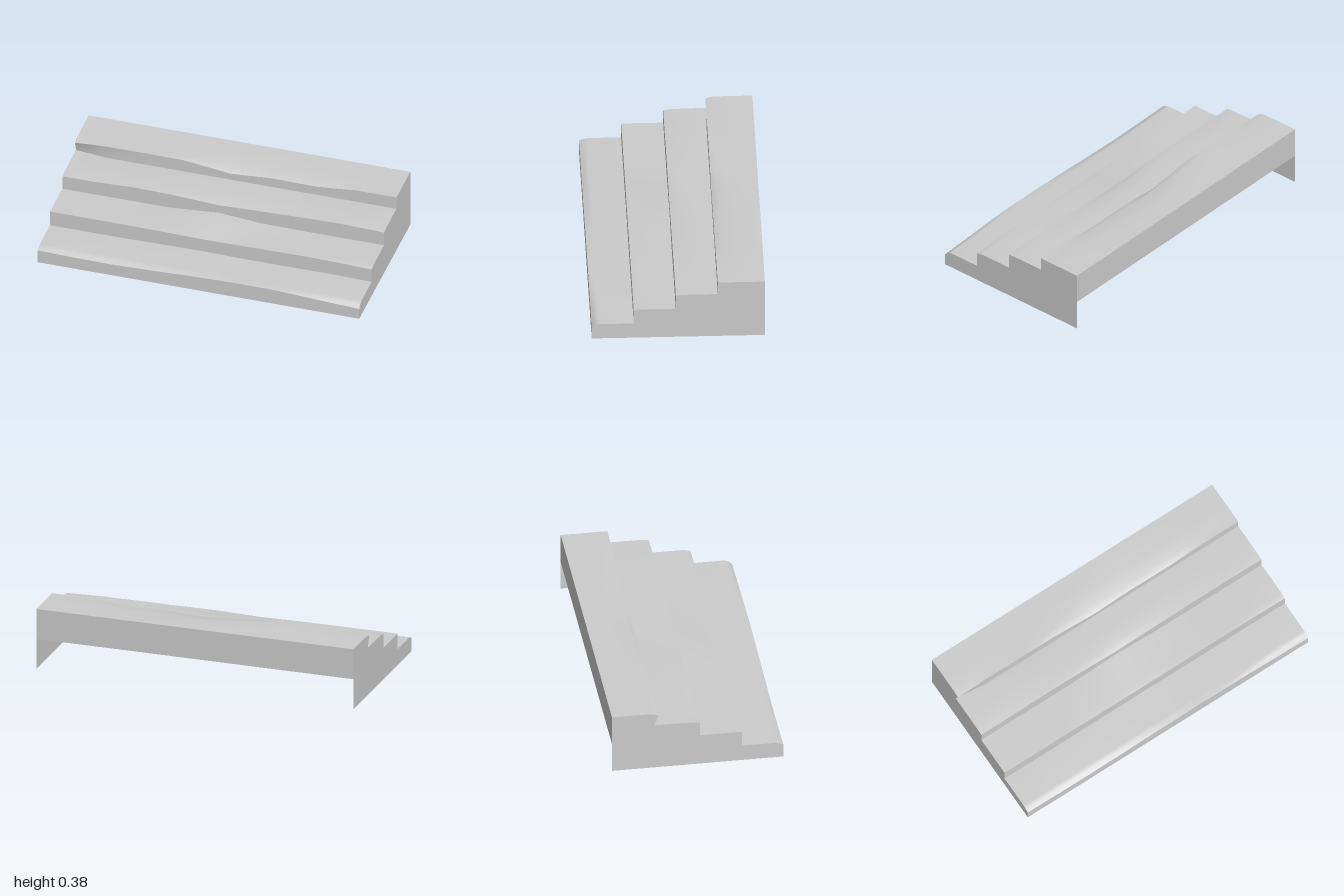
import * as THREE from 'three';

// Columns across the stair; every height list below follows them
const xs = [-1, -0.8, -0.55, -0.33, -0.03, 0.23, 0.5, 0.75, 1];
const flat = y => xs.map(() => y);
const BACK = -0.515;

// Each tread: rows of [z, heights], from the worn nose to the back edge
const treads = [
  [
    [0.515, [0.085, 0.08, 0.077, 0.083, 0.094, 0.1, 0.098, 0.083, 0.07]],
    [0.493, [0.094, 0.091, 0.09, 0.095, 0.1, 0.102, 0.101, 0.098, 0.092]],
    [0.468, flat(0.101)],
    [0.265, [0.101, 0.102, 0.102, 0.105, 0.108, 0.104, 0.104, 0.106, 0.101]],
  ],
  [
    [0.265, [0.2, 0.2, 0.2, 0.198, 0.193, 0.196, 0.2, 0.198, 0.19]],
    [0.225, [0.2, 0.2, 0.2, 0.2, 0.2, 0.2, 0.2, 0.2, 0.2]],
    [0.015, [0.2, 0.2, 0.2, 0.201, 0.225, 0.203, 0.2, 0.2, 0.2]],
  ],
  [
    [0.015, [0.29, 0.29, 0.3, 0.296, 0.279, 0.288, 0.296, 0.3, 0.292]],
    [-0.03, [0.295, 0.295, 0.303, 0.299, 0.295, 0.297, 0.298, 0.302, 0.297]],
    [-0.12, [0.298, 0.3, 0.305, 0.3, 0.298, 0.299, 0.299, 0.302, 0.298]],
    [-0.235, flat(0.298)],
  ],
  [
    [-0.235, [0.367, 0.379, 0.38, 0.379, 0.341, 0.36, 0.356, 0.379, 0.38]],
    [-0.275, [0.378, 0.38, 0.38, 0.38, 0.371, 0.37, 0.376, 0.38, 0.38]],
    [-0.36, [0.38, 0.38, 0.38, 0.38, 0.378, 0.373, 0.379, 0.38, 0.38]],
    [-0.42, flat(0.38)],
    [BACK, flat(0.38)],
  ],
];

// The foot of the last riser is undercut at one end
const footZ = (step, col) => treads[step][0][0] - (step === 3 && col === 0 ? 0.025 : 0);

const material = new THREE.MeshStandardMaterial({ color: 0xcccccc, side: THREE.DoubleSide });

// Sheet from rows of points; rows run left to right on screen, front row first
function sheet(name, rows) {
  const n = rows[0].length, index = [];
  for (let r = 0; r < rows.length - 1; r++) {
    for (let c = 0; c < n - 1; c++) {
      const a = r * n + c, b = a + n;
      index.push(a, a + 1, b + 1, a, b + 1, b);
    }
  }
  const geo = new THREE.BufferGeometry();
  geo.setAttribute('position', new THREE.Float32BufferAttribute(rows.flat(2), 3));
  geo.setIndex(index);
  geo.computeVertexNormals();
  const mesh = new THREE.Mesh(geo, material);
  mesh.name = name;
  return mesh;
}

// Point of a tread, its back edge following the foot of the next riser
function treadPoint(step, row, col) {
  const [z, ys] = treads[step][row];
  const isBack = row === treads[step].length - 1 && step < 3;
  return [xs[col], ys[col], isBack ? footZ(step + 1, col) : z];
}

// End wall cut to the stair profile of one end column
function endWall(name, col) {
  const shape = new THREE.Shape();
  shape.moveTo(BACK, 0);
  shape.lineTo(treads[0][0][0], 0);
  treads.forEach((rows, s) => rows.forEach((_, r) => {
    const [, y, z] = treadPoint(s, r, col);
    shape.lineTo(z, y);
  }));
  const geo = new THREE.ShapeGeometry(shape).rotateY(-Math.PI / 2);
  const mesh = new THREE.Mesh(geo, material);
  mesh.position.x = xs[col];
  mesh.name = name;
  return mesh;
}

export function createModel() {
  const group = new THREE.Group();
  group.name = 'wornSteps';

  treads.forEach((rows, s) => {
    // Worn tread
    group.add(sheet(`tread${s + 1}`, rows.map((_, r) => xs.map((_, c) => treadPoint(s, r, c)))));
    // Riser from the tread below (or the ground) up to the nose
    const foot = xs.map((x, c) => s === 0
      ? [x, 0, rows[0][0]]
      : treadPoint(s - 1, treads[s - 1].length - 1, c));
    group.add(sheet(`riser${s + 1}`, [foot, xs.map((_, c) => treadPoint(s, 0, c))]));
  });

  // Back apron covers only the upper half; the underside stays open
  group.add(sheet('backApron', [0.38, 0.19].map(y => [[-1, y, BACK], [1, y, BACK]])));

  group.add(endWall('rightEndWall', 0), endWall('leftEndWall', xs.length - 1));
  return group;
}
